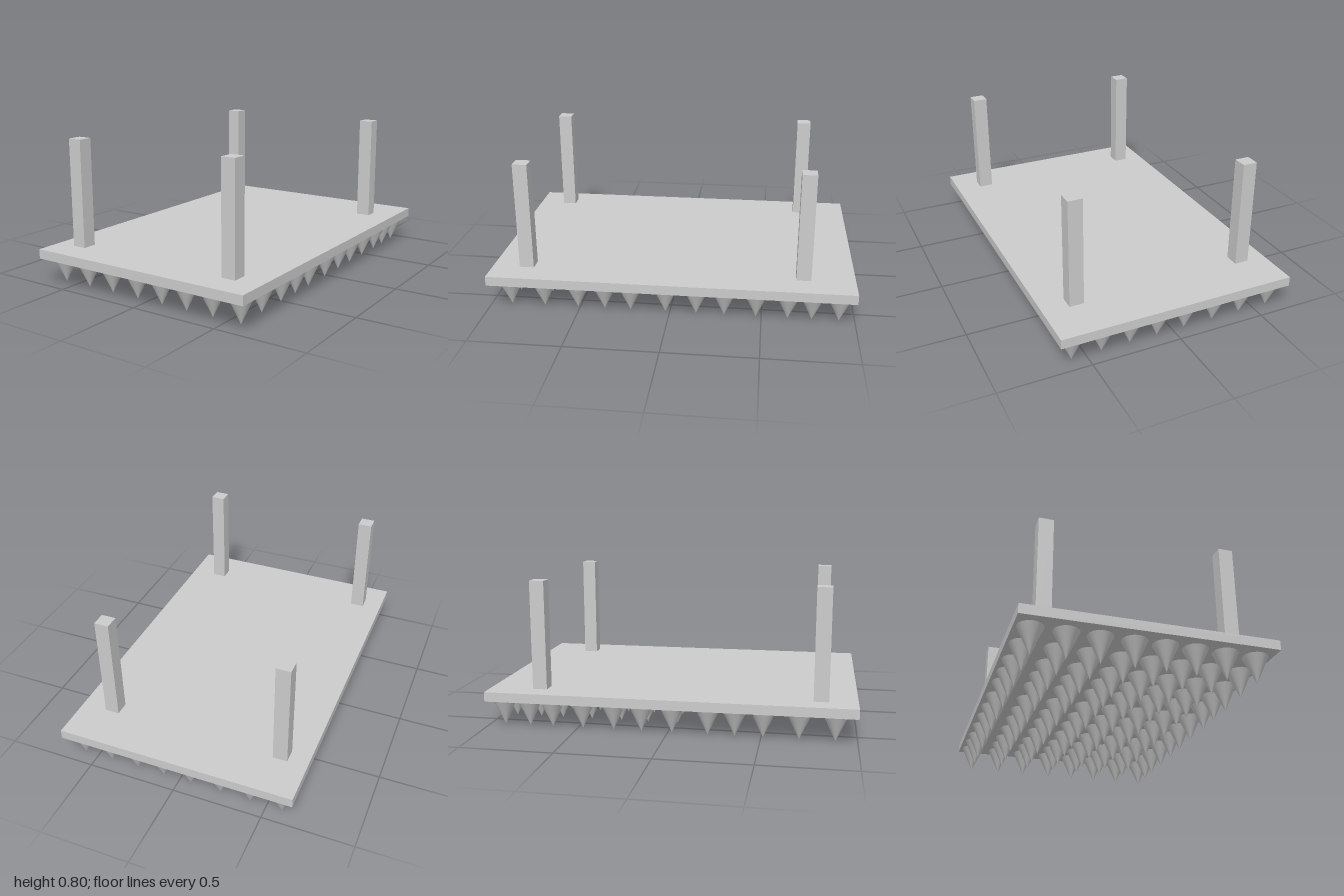
import * as THREE from 'three';

export function createModel() {
  const model = new THREE.Group();
  const material = new THREE.MeshStandardMaterial({ color: 0xcccccc });
  const slabBottom = 0.147, slabTop = 0.2;

  const add = (parent, geometry, name, x, y, z) => {
    const mesh = new THREE.Mesh(geometry, material);
    mesh.name = name;
    mesh.position.set(x, y, z);
    parent.add(mesh);
    return mesh;
  };

  // Flat slab
  add(model, new THREE.BoxGeometry(1.33, slabTop - slabBottom, 2), 'slab', 0, (slabTop + slabBottom) / 2, 0);

  // Four upright posts near the corners
  const posts = new THREE.Group();
  posts.name = 'posts';
  model.add(posts);
  const postGeometry = new THREE.BoxGeometry(0.08, 0.6, 0.08);
  for (const x of [-0.514, 0.481])
    for (const z of [-0.721, 0.808]) add(posts, postGeometry, 'post', x, slabTop + 0.3, z);

  // Grid of downward spikes, slightly unevenly spaced
  const spikes = new THREE.Group();
  spikes.name = 'spikes';
  model.add(spikes);
  const spikeGeometry = new THREE.ConeGeometry(0.067, slabBottom, 32).rotateX(Math.PI);
  const columns = [-0.583, -0.408, -0.239, -0.066, 0.095, 0.253, 0.414, 0.579];
  const rows = [0.885, 0.698, 0.51, 0.36, 0.216, 0.023, -0.145, -0.298, -0.47, -0.641, -0.77, -0.914];
  for (const x of columns)
    for (const z of rows) add(spikes, spikeGeometry, 'spike', x, slabBottom / 2, z);

  return model;
}
